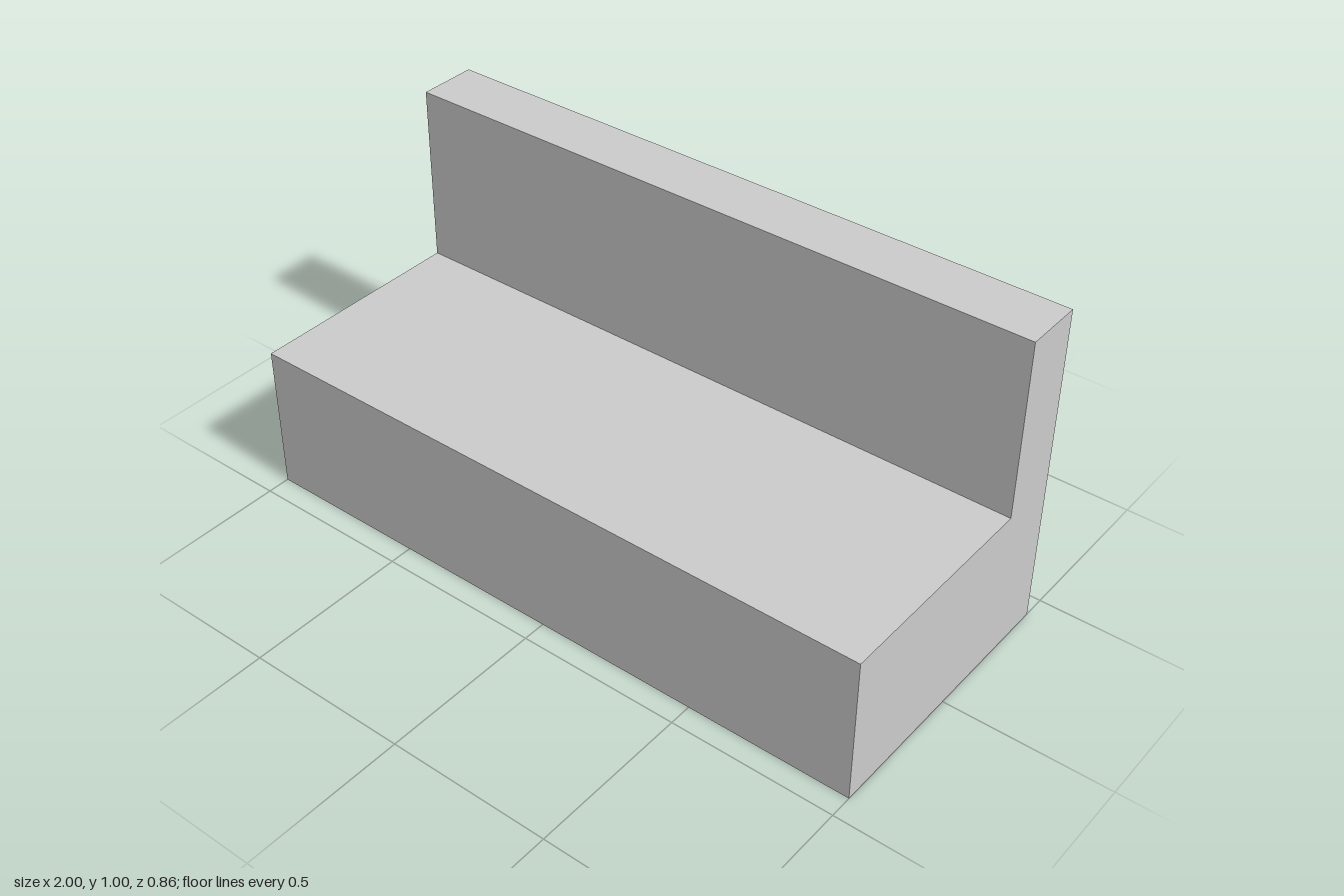
import * as THREE from 'three';

const WIDTH = 2;
const HALF_DEPTH = 0.43;
const SEAT_HEIGHT = 0.455;
const BACK_HEIGHT = 1;
const BACK_FRONT_Z = -0.25;

export function createModel() {
  const group = new THREE.Group();
  group.name = 'bench';

  // L-shaped side profile as (z, y) points: seat block with an upright back
  const profile = [
    [HALF_DEPTH, 0],
    [-HALF_DEPTH, 0],
    [-HALF_DEPTH, BACK_HEIGHT],
    [BACK_FRONT_Z, BACK_HEIGHT],
    [BACK_FRONT_Z, SEAT_HEIGHT],
    [HALF_DEPTH, SEAT_HEIGHT],
  ];
  const shape = new THREE.Shape(profile.map(([z, y]) => new THREE.Vector2(-z, y)));

  // Extrude along the width, centred on x
  const geometry = new THREE.ExtrudeGeometry(shape, { depth: WIDTH, bevelEnabled: false });
  geometry.translate(0, 0, -WIDTH / 2);
  geometry.rotateY(Math.PI / 2);

  const body = new THREE.Mesh(
    geometry,
    new THREE.MeshStandardMaterial({ color: 0xcccccc, flatShading: true })
  );
  body.name = 'seatAndBack';
  group.add(body);
  return group;
}
